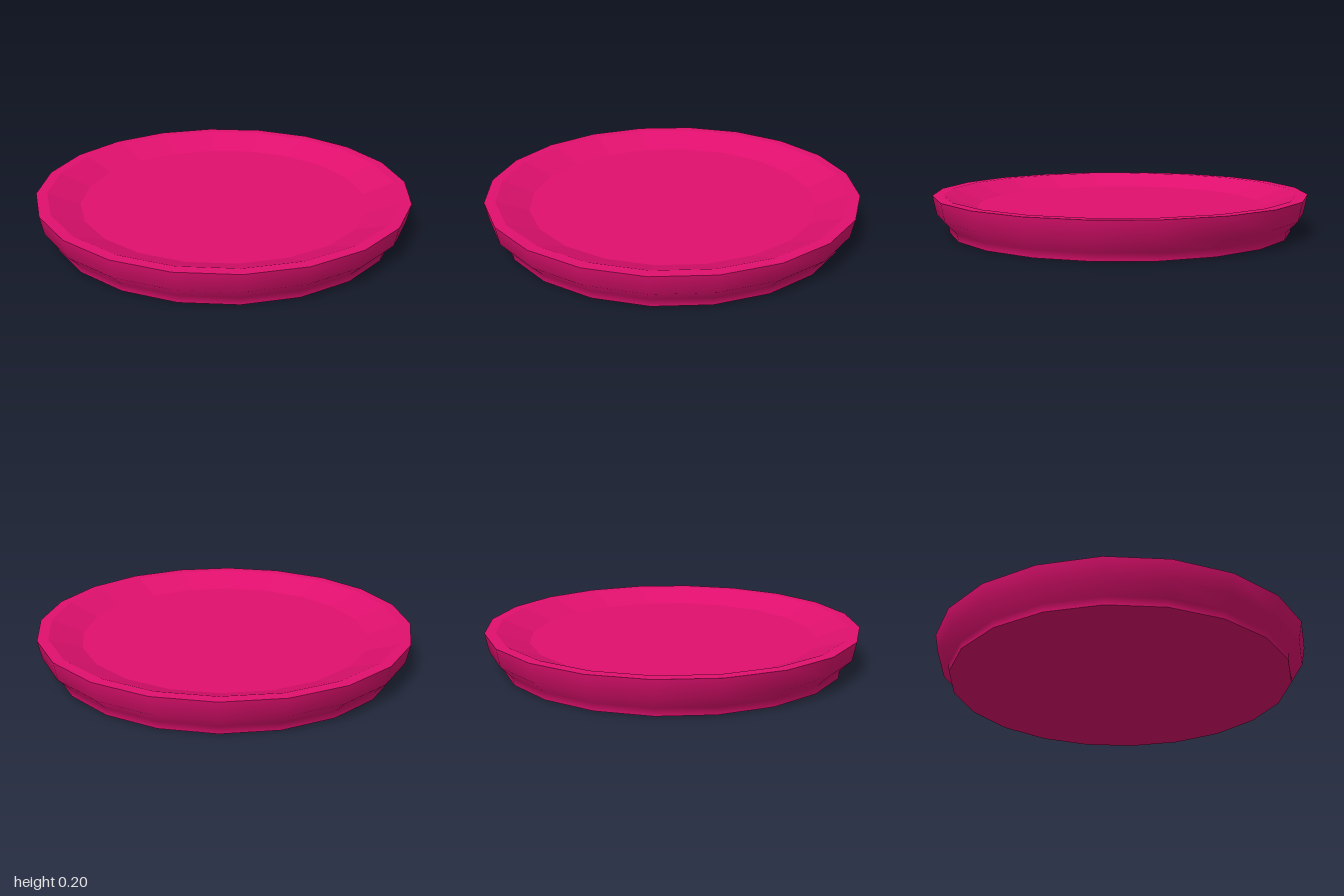
import * as THREE from 'three';

const SIDES = 20;

// Turns a list of [radius, height] points into a named 20-sided surface
function turned(name, profile, material) {
  const points = profile.map(([r, y]) => new THREE.Vector2(r, y));
  const mesh = new THREE.Mesh(new THREE.LatheGeometry(points, SIDES), material);
  mesh.name = name;
  return mesh;
}

export function createModel() {
  const color = 0xe0106e;
  const smooth = new THREE.MeshStandardMaterial({ color });
  const faceted = new THREE.MeshStandardMaterial({ color, flatShading: true });

  const plate = new THREE.Group();
  plate.name = 'plate';
  plate.add(
    // flat underside of the foot
    turned('base', [[0, 0], [0.915, 0]], faceted),
    // foot and flared outer wall
    turned('outerWall', [[0.915, 0], [0.92, 0.04], [0.98, 0.1], [1, 0.2]], smooth),
    // flat top edge
    turned('rim', [[1, 0.2], [0.942, 0.2]], faceted),
    // sloping inside of the rim
    turned('innerSlope', [[0.942, 0.2], [0.77, 0.135]], faceted),
    // sunken eating surface
    turned('floor', [[0.77, 0.135], [0, 0.135]], faceted)
  );
  return plate;
}
